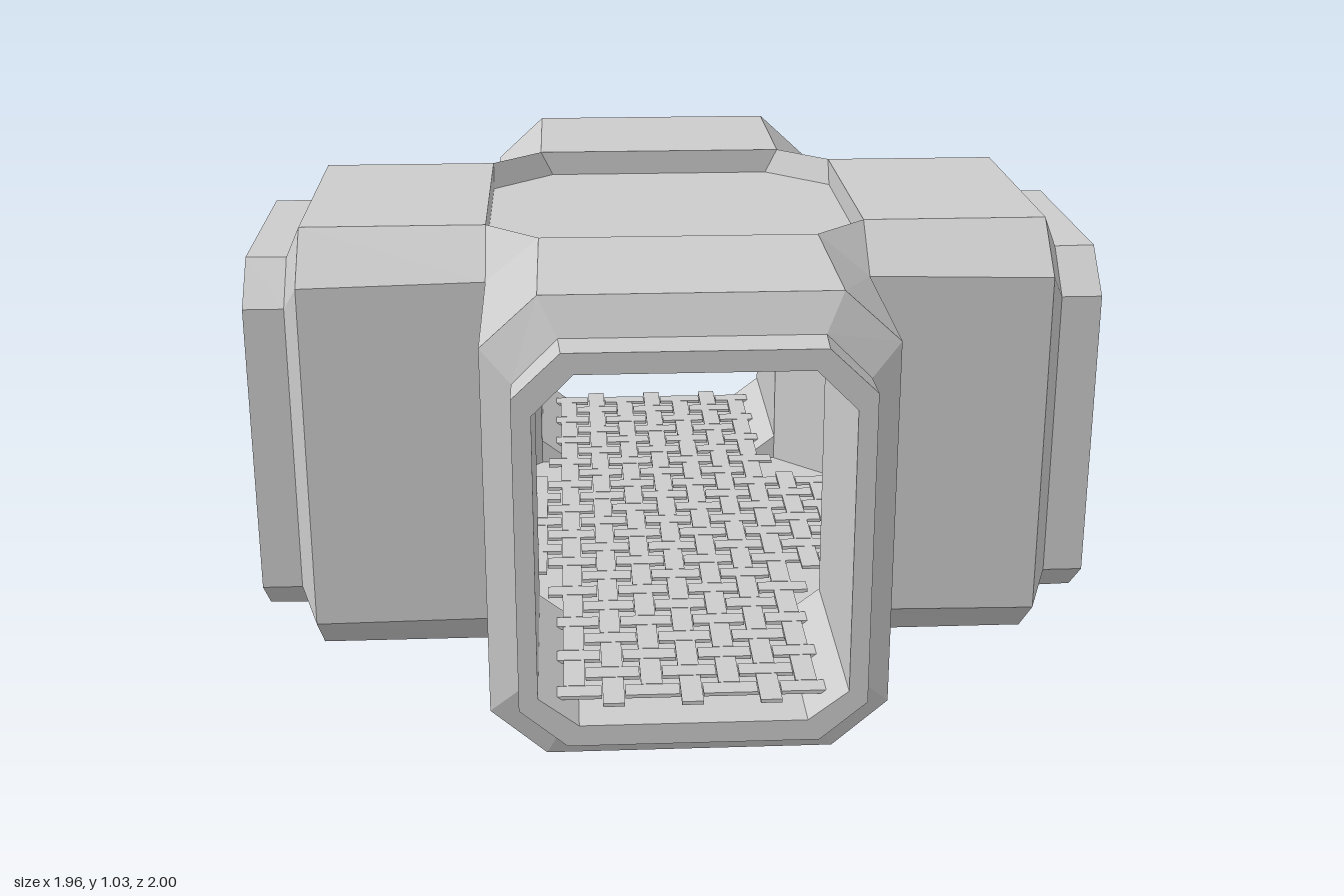
import * as THREE from 'three';
import { mergeGeometries } from 'three/addons/utils/BufferGeometryUtils.js';

const material = new THREE.MeshStandardMaterial({ color: 0xcccccc, flatShading: true });
const V = (x, y, z) => new THREE.Vector3(x, y, z);

// Chamfered rectangle in the xy plane at depth z, counter-clockwise from the front
function section(z, hw, y0, y1, cx, cTop, cBottom) {
  return [
    [hw - cx, y0], [hw, y0 + cBottom], [hw, y1 - cTop], [hw - cx, y1],
    [cx - hw, y1], [-hw, y1 - cTop], [-hw, y0 + cBottom], [cx - hw, y0],
  ].map(([x, y]) => V(x, y, z));
}

// Flat-faced mesh from a list of convex polygons
function polyMesh(name, polygons) {
  const points = [];
  for (const p of polygons) {
    for (let i = 1; i < p.length - 1; i++) points.push(p[0], p[i], p[i + 1]);
  }
  const geometry = new THREE.BufferGeometry().setFromPoints(points);
  geometry.computeVertexNormals();
  const mesh = new THREE.Mesh(geometry, material);
  mesh.name = name;
  return mesh;
}

function loft(rings) {
  const quads = [];
  for (let r = 0; r < rings.length - 1; r++) {
    const a = rings[r], b = rings[r + 1];
    for (let i = 0; i < a.length; i++) {
      const j = (i + 1) % a.length;
      quads.push([a[i], a[j], b[j], b[i]]);
    }
  }
  return quads;
}

// Wind a polygon so that it faces the given direction
function facing(polygon, direction) {
  const [a, b, c] = polygon;
  const normal = b.clone().sub(a).cross(c.clone().sub(a));
  return normal.dot(direction) < 0 ? polygon.reverse() : polygon;
}

// Level octagon with long sides at h and corners cut back to k, facing up (1) or down (-1)
function octagon(h, k, y, up) {
  const corners = [[k, h], [h, k], [h, -k], [k, -h], [-k, -h], [-h, -k], [-h, k], [-k, h]];
  return facing(corners.map(([x, z]) => V(x, y, z)), V(0, up, 0));
}

const H = 0.43, CX = 0.12, K = H - CX, TOP = 1.035;       // outer shell
const C_TOP = 0.1, C_BOTTOM = 0.11;                        // shell chamfers at the crossing
const RECESS = 0.06, RIM = 0.03;                           // recessed centre plates
const IN = 0.325, IN0 = 0.135, IN1 = 0.91, HALL = 0.5;     // passage and inner hall
const IC = 0.085, IC_BOTTOM = 0.065;                       // passage chamfers

// One corridor arm: shell with tapered shoulder, collar, inner walls, recess step
function createArm(end) {
  const arm = new THREE.Group();
  arm.name = 'corridorArm';
  const collarBase = section(end - 0.093, 0.365, 0.088, 0.955, 0.095, 0.095, 0.085);
  arm.add(polyMesh('armShell', loft([
    section(H, H, 0, TOP, CX, C_TOP, C_BOTTOM),
    section(end - 0.13, H, 0, TOP, CX, 0.11, 0.105),
    collarBase,
  ])));
  const mouth = section(end, IN, IN0, IN1, IC, IC, IC_BOTTOM);
  arm.add(polyMesh('collar', loft([
    collarBase,
    section(end, 0.365, 0.088, 0.955, 0.1, 0.095, 0.085),
    mouth,
  ])));
  arm.add(polyMesh('innerWalls', loft([
    mouth,
    section(HALL, IN, IN0, IN1, IC, IC, IC_BOTTOM),
  ])));

  const steps = [], ends = [];
  // Step from the arm down to the recessed centre plates
  for (const [edge, plate, corner] of [[TOP, TOP - RECESS, TOP - C_TOP], [0, RECESS, C_BOTTOM]]) {
    steps.push([V(-K, plate, H), V(K, plate, H), V(K, edge, H), V(-K, edge, H)]);
    for (const s of [-1, 1]) steps.push([V(s * K, plate, H), V(s * K, edge, H), V(s * H, corner, H)]);
  }
  // Cut ends of the inner chamfers where the passage meets the hall
  for (const [y, side] of [[IN1, IN1 - IC], [IN0, IN0 + IC_BOTTOM]]) {
    for (const s of [-1, 1]) ends.push([V(s * IN, y, HALL), V(s * IN, side, HALL), V(s * (IN - IC), y, HALL)]);
  }
  const inward = V(0, 0, -1);
  arm.add(polyMesh('recessWalls', steps.map((p) => facing(p, inward))));
  arm.add(polyMesh('chamferEnds', ends.map((p) => facing(p, inward))));
  return arm;
}

// Centre of the crossing: recessed roof and bottom outside, eight-sided hall inside
function createCrossing() {
  const crossing = new THREE.Group();
  crossing.name = 'crossing';
  const roofY = TOP - RECESS, inner = K - RIM;
  const roof = [octagon(H, inner, roofY, 1)];
  const bottom = [octagon(H, K, RECESS, -1)];
  const hall = [octagon(HALL, IN, IN1, -1), octagon(HALL, IN, IN0, 1)];
  for (const sx of [-1, 1]) for (const sz of [-1, 1]) {
    const P = (x, y, z) => V(sx * x, y, sz * z);
    const up = V(0, 1, 0), toCentre = P(-1, 0, -1);
    // Raised corner gusset and its sloping wall behind
    roof.push(facing([P(H, TOP - C_TOP, H), P(K, TOP, H), P(H, TOP, K)], up));
    roof.push(facing([P(K, TOP, H), P(H, TOP, K), P(H, roofY, inner), P(inner, roofY, H)], toCentre));
    bottom.push(facing([P(H, C_BOTTOM, H), P(K, RECESS, H), P(H, RECESS, K)], V(0, -1, 0)));
    hall.push(facing([P(IN, IN0, HALL), P(HALL, IN0, IN), P(HALL, IN1, IN), P(IN, IN1, HALL)], toCentre));
  }
  crossing.add(polyMesh('roofPlate', roof), polyMesh('bottomPlate', bottom), polyMesh('innerHall', hall));
  return crossing;
}

// Cross-shaped floor grating woven from short bars
function createGrating() {
  const pitch = 0.083, bars = [];
  for (let i = -11; i <= 11; i++) for (let j = -11; j <= 11; j++) {
    if (Math.abs(i) > 3 && Math.abs(j) > 3) continue;
    const bar = new THREE.BoxGeometry(0.116, 0.008, 0.046);
    if ((i + j) % 2) bar.rotateY(Math.PI / 2);
    bars.push(bar.translate(i * pitch, 0.166, j * pitch));
  }
  const mesh = new THREE.Mesh(mergeGeometries(bars), material);
  mesh.name = 'floorGrating';
  return mesh;
}

export function createModel() {
  const model = new THREE.Group();
  model.name = 'corridorCrossing';
  for (let i = 0; i < 4; i++) {
    // The side arms are slightly shorter than the front and back ones
    const arm = createArm(i % 2 ? 0.98 : 1);
    arm.rotation.y = i * Math.PI / 2;
    model.add(arm);
  }
  model.add(createCrossing(), createGrating());
  return model;
}
